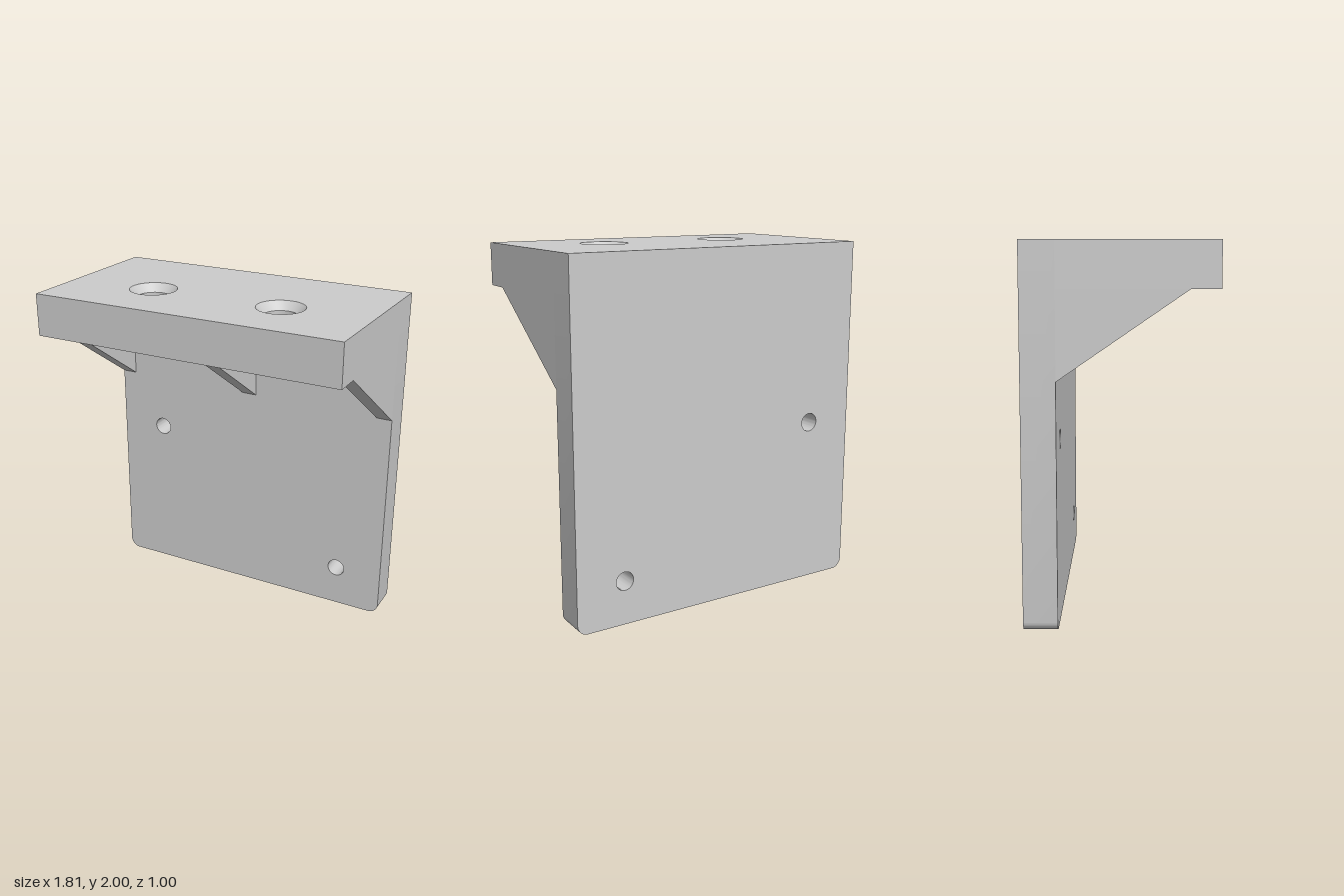
import * as THREE from 'three';
import { toCreasedNormals } from 'three/addons/utils/BufferGeometryUtils.js';

const W = 0.907;                 // half width
const BACK = -0.5, FACE = -0.32, FRONT = 0.5; // depth stations
const TOP = 2, UNDER = 1.76;     // shelf top and underside
const SEG = 24;

const grey = new THREE.MeshStandardMaterial({ color: 0xcccccc });

function mesh(name, geometry) {
  const m = new THREE.Mesh(geometry, grey);
  m.name = name;
  return m;
}

function circle(x, y, r) {
  return new THREE.Path().absarc(x, y, r, 0, Math.PI * 2, true);
}

// Upright plate with rounded lower corners and two screw holes
function backPlate() {
  const r = 0.06;
  const s = new THREE.Shape();
  s.moveTo(-W, TOP);
  s.lineTo(-W, r);
  s.absarc(-W + r, r, r, Math.PI, Math.PI * 1.5, false);
  s.lineTo(W - r, 0);
  s.absarc(W - r, r, r, Math.PI * 1.5, Math.PI * 2, false);
  s.lineTo(W, TOP);
  s.closePath();
  s.holes.push(circle(-0.62, 0.964, 0.053), circle(0.62, 0.25, 0.053));
  const g = new THREE.ExtrudeGeometry(s, { depth: FACE - BACK, bevelEnabled: false, curveSegments: SEG });
  g.translate(0, 0, BACK);
  return mesh('backPlate', toCreasedNormals(g, 0.6));
}

// Shelf with two countersunk holes
function shelf() {
  const group = new THREE.Group();
  group.name = 'shelf';
  const holeX = 0.393, holeZ = 0.105, bore = 0.092, sink = 0.135;
  const depth = FRONT - FACE, height = TOP - UNDER;
  const midY = (TOP + UNDER) / 2, midZ = (FRONT + FACE) / 2;

  // Horizontal face; dir is 1 facing up, -1 facing down
  const face = (radius, y, dir) => {
    const s = new THREE.Shape();
    s.moveTo(-W, -FRONT * dir);
    s.lineTo(W, -FRONT * dir);
    s.lineTo(W, -FACE * dir);
    s.lineTo(-W, -FACE * dir);
    s.closePath();
    for (const x of [-holeX, holeX]) s.holes.push(circle(x, -holeZ * dir, radius));
    return new THREE.ShapeGeometry(s, SEG).rotateX(-dir * Math.PI / 2).translate(0, y, 0);
  };
  group.add(mesh('shelfTop', face(sink, TOP, 1)));
  group.add(mesh('shelfUnderside', face(bore, UNDER, -1)));

  // Front edge and both ends
  group.add(mesh('shelfFront', new THREE.PlaneGeometry(2 * W, height).translate(0, midY, FRONT)));
  for (const side of [-1, 1]) {
    const end = new THREE.PlaneGeometry(depth, height).rotateY(side * Math.PI / 2);
    group.add(mesh('shelfEnd', end.translate(side * W, midY, midZ)));

    // Hole wall, listed downward so that it faces the axis
    const profile = [[sink, TOP], [bore, TOP - 0.045], [bore, UNDER]].map(p => new THREE.Vector2(...p));
    const wall = new THREE.LatheGeometry(profile, SEG * 2).translate(side * holeX, 0, holeZ);
    group.add(mesh('countersunkHole', toCreasedNormals(wall, 0.6)));
  }
  return group;
}

// Triangular gusset between plate and shelf
function rib(x) {
  const width = 0.09;
  const s = new THREE.Shape();
  s.moveTo(-FACE, 1.3);
  s.lineTo(-FACE, UNDER);
  s.lineTo(-0.35, UNDER);
  s.closePath();
  const g = new THREE.ExtrudeGeometry(s, { depth: width, bevelEnabled: false });
  g.translate(0, 0, -width / 2).rotateY(Math.PI / 2).translate(x, 0, 0);
  return mesh('rib', g);
}

export function createModel() {
  const model = new THREE.Group();
  model.name = 'shelfBracket';
  model.add(backPlate(), shelf());
  for (const x of [-W + 0.045, 0, W - 0.045]) model.add(rib(x));
  return model;
}
